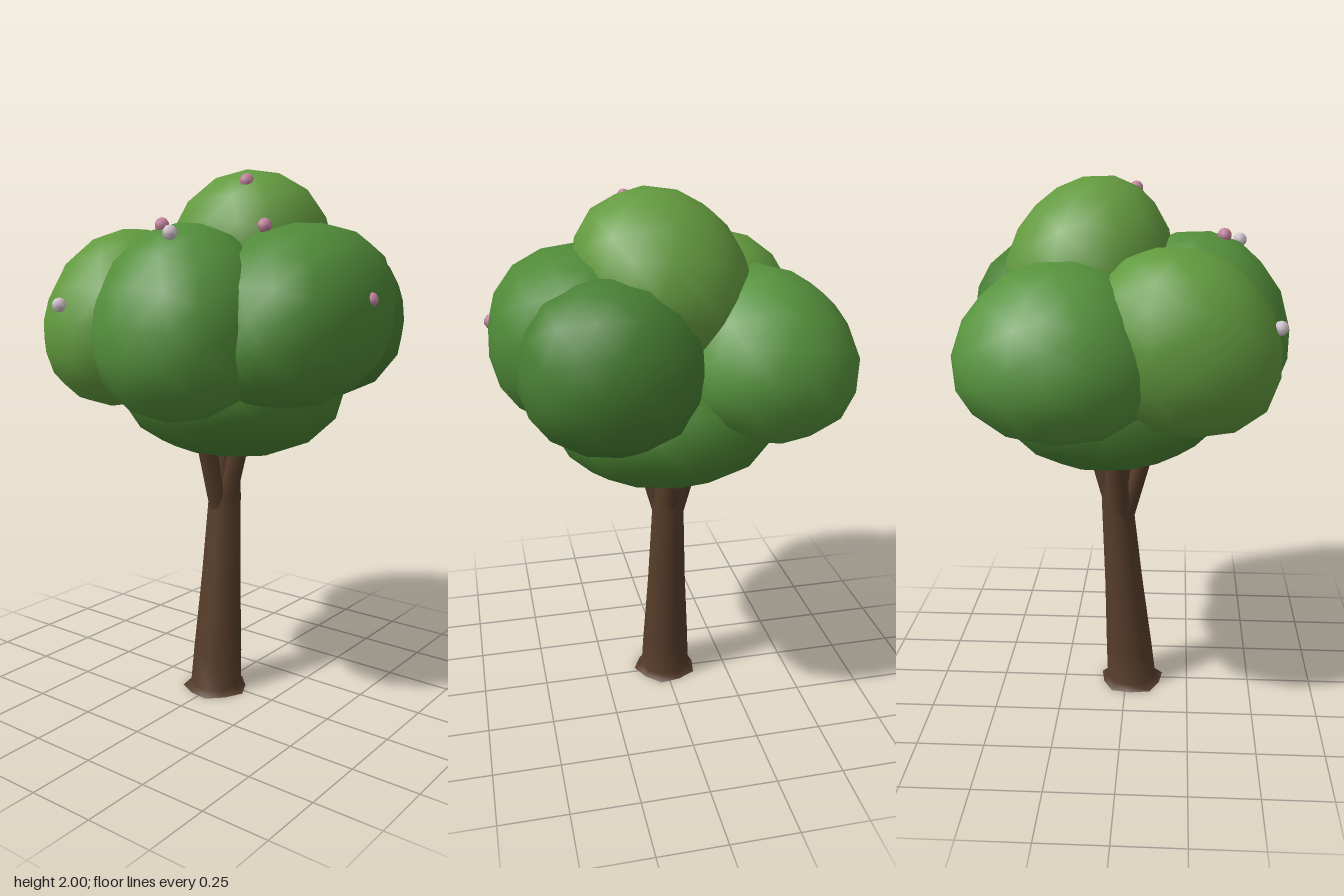
import * as THREE from 'three';
import { mergeVertices } from 'three/addons/utils/BufferGeometryUtils.js';

const material = (color) => new THREE.MeshStandardMaterial({ color });
const bark = material(0x573d2a);
bark.side = THREE.DoubleSide;

function addMesh(parent, name, geometry, mat) {
  const mesh = new THREE.Mesh(geometry, mat);
  mesh.name = name;
  parent.add(mesh);
  return mesh;
}

// Join coincident vertices so shading runs smoothly across seams
function weld(geo) {
  geo.deleteAttribute('uv');
  geo.deleteAttribute('normal');
  return mergeVertices(geo, 1e-4);
}

// Ball with a boxiness power, upward taper and lean in x and z, fitted to a centre and radii
function leafBall([cx, cy, cz], [rx, ry, rz], [power, taper, leanX, leanZ], seed) {
  const geo = weld(new THREE.IcosahedronGeometry(1, 2));
  const pos = geo.attributes.position;
  const v = new THREE.Vector3();
  for (let i = 0; i < pos.count; i++) {
    v.fromBufferAttribute(pos, i);
    const norm = (Math.abs(v.x) ** power + Math.abs(v.y) ** power + Math.abs(v.z) ** power) ** (1 / power);
    const bump = Math.sin(3.1 * v.x + seed) + Math.sin(2.7 * v.y + seed * 2.3) * Math.cos(3.3 * v.z + seed);
    v.multiplyScalar((1 + 0.015 * bump) / norm);
    const k = 1 - taper * v.y;
    pos.setXYZ(i, v.x * k + leanX * v.y, v.y, v.z * k + leanZ * v.y);
  }
  geo.center();
  geo.computeBoundingBox();
  const half = geo.boundingBox.max;
  geo.scale(rx / half.x, ry / half.y, rz / half.z);
  geo.translate(cx, cy, cz);
  geo.computeVertexNormals();
  return geo;
}

// Leaning trunk, open underneath, with an uneven flare at the foot
function trunkGeometry() {
  const profile = [[0.124, 0], [0.1, 0.02], [0.094, 0.15], [0.076, 0.45], [0.062, 0.78], [0.055, 1.0]]
    .map(([r, y]) => new THREE.Vector2(r, y));
  const geo = weld(new THREE.LatheGeometry(profile, 10));
  const pos = geo.attributes.position;
  for (let i = 0; i < pos.count; i++) {
    const y = pos.getY(i);
    const angle = Math.atan2(pos.getZ(i), pos.getX(i));
    const k = y < 0.01 ? 1 + 0.05 * Math.sin(5 * angle) : 1;
    pos.setX(i, pos.getX(i) * k - 0.024 + 0.074 * Math.min(y, 0.78));
    pos.setZ(i, pos.getZ(i) * k - 0.004);
  }
  geo.computeVertexNormals();
  return geo;
}

function branch(from, to) {
  const dir = to.clone().sub(from);
  const geo = new THREE.CylinderGeometry(0.034, 0.04, dir.length(), 7);
  geo.applyQuaternion(new THREE.Quaternion().setFromUnitVectors(new THREE.Vector3(0, 1, 0), dir.normalize()));
  const mid = from.clone().add(to).multiplyScalar(0.5);
  return geo.translate(mid.x, mid.y, mid.z);
}

export function createModel() {
  const tree = new THREE.Group();
  tree.name = 'tree';

  // Trunk and forking branches
  addMesh(tree, 'trunk', trunkGeometry(), bark);
  const branches = new THREE.Group();
  branches.name = 'branches';
  tree.add(branches);
  for (let i = 0; i < 4; i++) {
    const a = (i * Math.PI) / 2 + 0.08;
    const at = (r, y) => new THREE.Vector3(0.02 + r * Math.cos(a), y, r * Math.sin(a) - 0.008);
    addMesh(branches, 'branch', branch(at(0.016, 0.74), at(0.116, 1.08)), bark);
  }

  // Overlapping foliage masses: name, colour, centre, radii, [power, taper, lean x, lean z]
  const crown = new THREE.Group();
  crown.name = 'crown';
  tree.add(crown);
  [
    ['lowerFoliage', 0x4c8434, [0.055, 1.21, 0.015], [0.43, 0.267, 0.42], [2.05, 0, 0, 0]],
    ['topFoliage', 0x649a3f, [0.137, 1.71, 0.035], [0.305, 0.29, 0.315], [2.1, 0.1, -0.1, 0.15]],
    ['rightFoliage', 0x548f3b, [-0.275, 1.47, 0.055], [0.325, 0.34, 0.315], [2.1, 0.08, 0.1, 0]],
    ['frontLeftFoliage', 0x487f33, [0.285, 1.46, 0.25], [0.315, 0.3, 0.312], [2.2, 0, 0, 0]],
    ['frontFoliage', 0x508a38, [0.015, 1.49, 0.325], [0.4, 0.322, 0.31], [2.35, 0.03, 0.16, 0]],
    ['backLeftFoliage', 0x57933d, [0.222, 1.44, -0.305], [0.348, 0.305, 0.337], [2.08, 0.12, 0, 0.05]],
    ['backRightFoliage', 0x629a3e, [-0.217, 1.47, -0.26], [0.33, 0.32, 0.275], [2.1, 0.05, 0.12, 0]],
  ].forEach(([name, color, center, radii, form], i) =>
    addMesh(crown, name, leafBall(center, radii, form, 1.7 * i + 0.6), material(color)));

  // Small blossoms on the leaves
  const pink = material(0xc485a0);
  const pale = material(0xd2c4cd);
  const blossoms = new THREE.Group();
  blossoms.name = 'blossoms';
  tree.add(blossoms);
  const bud = new THREE.SphereGeometry(0.026, 7, 5);
  [
    [pink, -0.35, 1.8, 0.02], [pale, -0.41, 1.775, 0.105], [pink, -0.03, 1.955, 0.14], [pink, -0.09, 1.8, 0.26],
    [pink, 0.02, 1.555, 0.62], [pale, -0.535, 1.53, -0.295], [pale, 0, 1.64, -0.265],
  ].forEach(([mat, x, y, z]) => addMesh(blossoms, 'blossom', bud, mat).position.set(x, y, z));

  return tree;
}
